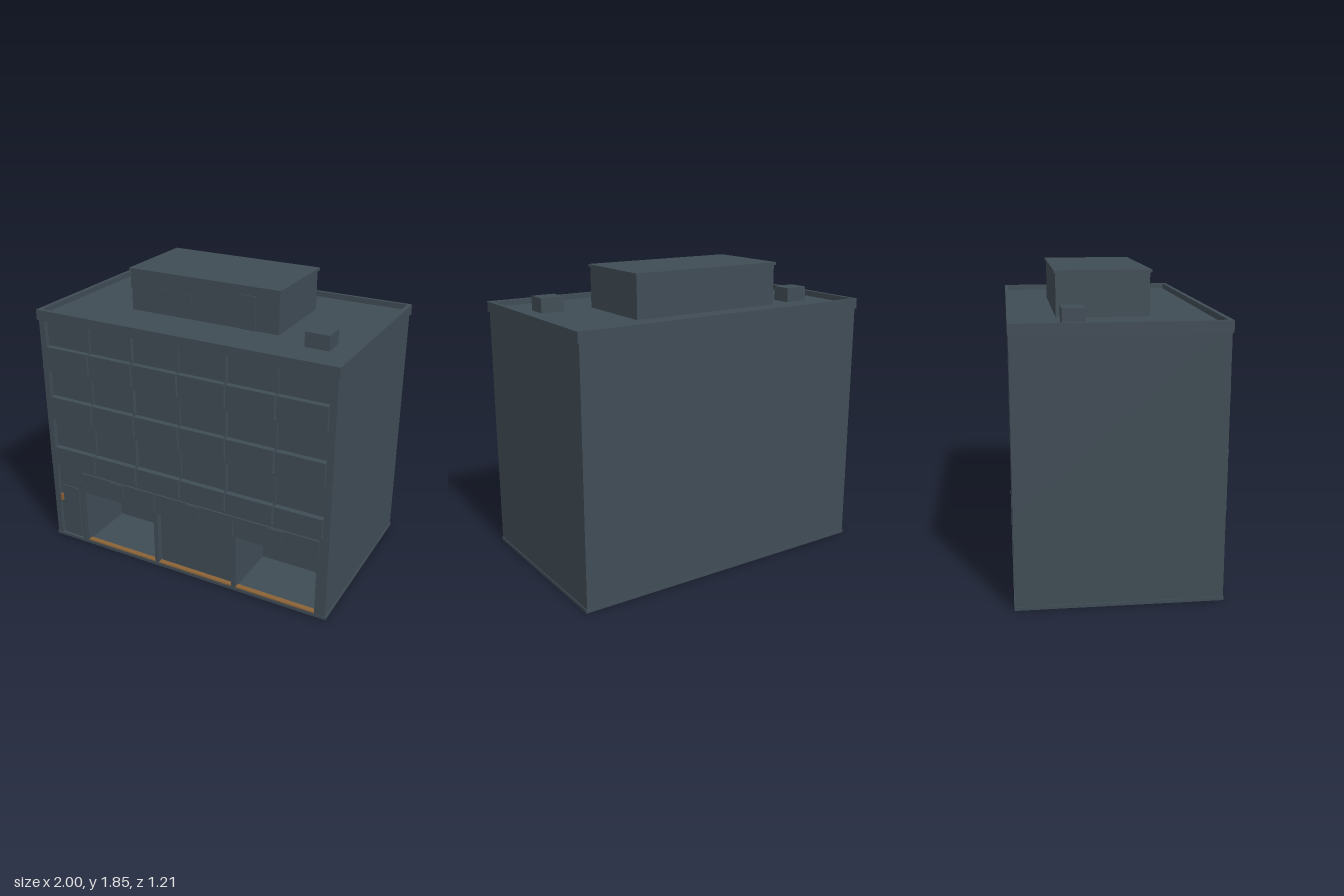
import * as THREE from 'three';

const slate = new THREE.MeshStandardMaterial({ color: 0x404c55 });
slate.name = 'slate';
const brass = new THREE.MeshStandardMaterial({ color: 0x8a6236 });
brass.name = 'brass';

export function createModel() {
  const model = new THREE.Group();
  model.name = 'building';

  // Box given by its limits on each axis
  function box(name, x0, x1, y0, y1, z0, z1, material = slate) {
    const mesh = new THREE.Mesh(new THREE.BoxGeometry(x1 - x0, y1 - y0, z1 - z0), material);
    mesh.position.set((x0 + x1) / 2, (y0 + y1) / 2, (z0 + z1) / 2);
    mesh.name = name;
    model.add(mesh);
    return mesh;
  }

  // Plinth
  box('plinth', -0.995, 0.995, 0, 0.02, -0.603, 0.592);

  // Ground floor: plan with a door recess, two deep shop bays and a shallow middle one
  const bays = [
    { x0: -0.73, x1: -0.2, back: 0.2 },
    { x0: -0.17, x1: 0.36, back: 0.55 },
    { x0: 0.39, x1: 0.92, back: 0.2 },
  ];
  const notches = [{ x0: -0.95, x1: -0.78, back: 0.568 }, ...bays];
  const plan = new THREE.Shape();
  plan.moveTo(-0.99, 0.6);
  plan.lineTo(-0.99, -0.588);
  for (const n of notches) {
    plan.lineTo(n.x0, -0.588);
    plan.lineTo(n.x0, -n.back);
    plan.lineTo(n.x1, -n.back);
    plan.lineTo(n.x1, -0.588);
  }
  plan.lineTo(0.99, -0.588);
  plan.lineTo(0.99, 0.6);
  plan.closePath();
  const groundGeometry = new THREE.ExtrudeGeometry(plan, { depth: 0.525, bevelEnabled: false });
  groundGeometry.rotateX(-Math.PI / 2);
  const ground = new THREE.Mesh(groundGeometry, slate);
  ground.position.y = 0.02;
  ground.name = 'groundFloor';
  model.add(ground);

  // Shop headers, sign boards, small plates and thresholds
  for (const b of bays) {
    const mid = (b.x0 + b.x1) / 2;
    box('shopHeader', b.x0, b.x1, 0.39, 0.545, b.back, 0.588);
    box('signBoard', b.x0 - 0.012, b.x1 + 0.012, 0.4, 0.535, 0.58, 0.598);
    box('signPlate', mid - 0.047, mid + 0.047, 0.43, 0.53, 0.597, 0.605);
    box('threshold', b.x0, b.x1, 0.02, 0.028, 0.555, 0.588, brass);
  }

  // Entrance door
  box('doorLeaf', -0.935, -0.8, 0.02, 0.39, 0.565, 0.575);
  box('doorHandle', -0.943, -0.929, 0.275, 0.325, 0.575, 0.59, brass);
  box('doorPost', -0.768, -0.745, 0.02, 0.47, 0.585, 0.592);

  // Upper storeys with recessed glazing
  box('upperBody', -0.99, 0.99, 0.545, 1.58, -0.6, 0.56);
  for (const s of [-1, 1]) {
    box('cornerPier', s * 0.97 - 0.02, s * 0.97 + 0.02, 0.545, 1.56, 0.55, 0.59);
  }
  const floors = [
    { ledge: 0.545, sill: 0.56, panelTop: 0.68, top: 0.88 },
    { ledge: 0.88, sill: 0.9, panelTop: 1.04, top: 1.215 },
    { ledge: 1.215, sill: 1.24, panelTop: 1.38, top: 1.55 },
  ];
  const step = 1.9 / 6;
  for (const f of floors) {
    box('floorLedge', -0.99, 0.99, f.ledge, f.sill, 0.55, 0.592);
    for (let i = 0; i < 6; i++) {
      const x = -0.95 + i * step;
      box('spandrelPanel', x + 0.006, x + step - 0.006, f.sill, f.panelTop, 0.55, 0.596);
      if (i > 0) {
        const out = i % 2 === 0 && i !== 3 ? 0.588 : 0.572;
        box('mullion', x - 0.004, x + 0.004, f.panelTop, f.top, 0.55, out);
      }
    }
  }

  // Parapet around the roof
  box('parapetFront', -1, 1, 1.55, 1.615, 0.57, 0.597);
  box('parapetBack', -1, 1, 1.55, 1.615, -0.605, -0.585);
  for (const s of [-1, 1]) {
    box('parapetSide', s * 0.9875 - 0.0125, s * 0.9875 + 0.0125, 1.55, 1.615, -0.586, 0.571);
  }
  box('roofDeck', -0.98, 0.98, 1.56, 1.58, -0.59, 0.575);

  // Rooftop plant room
  box('plantRoom', -0.54, 0.47, 1.57, 1.83, -0.325, 0.218);
  box('plantRoomCap', -0.55, 0.48, 1.83, 1.848, -0.335, 0.228);
  box('plantRoomDoor', 0.22, 0.32, 1.58, 1.79, 0.216, 0.225);
  box('plantRoomLouvre', -0.43, -0.11, 1.62, 1.74, 0.216, 0.221);

  // Roof vents
  box('roofVentFront', 0.675, 0.825, 1.57, 1.67, 0.19, 0.32);
  box('roofVentBack', -0.825, -0.675, 1.57, 1.67, -0.31, -0.18);

  return model;
}
